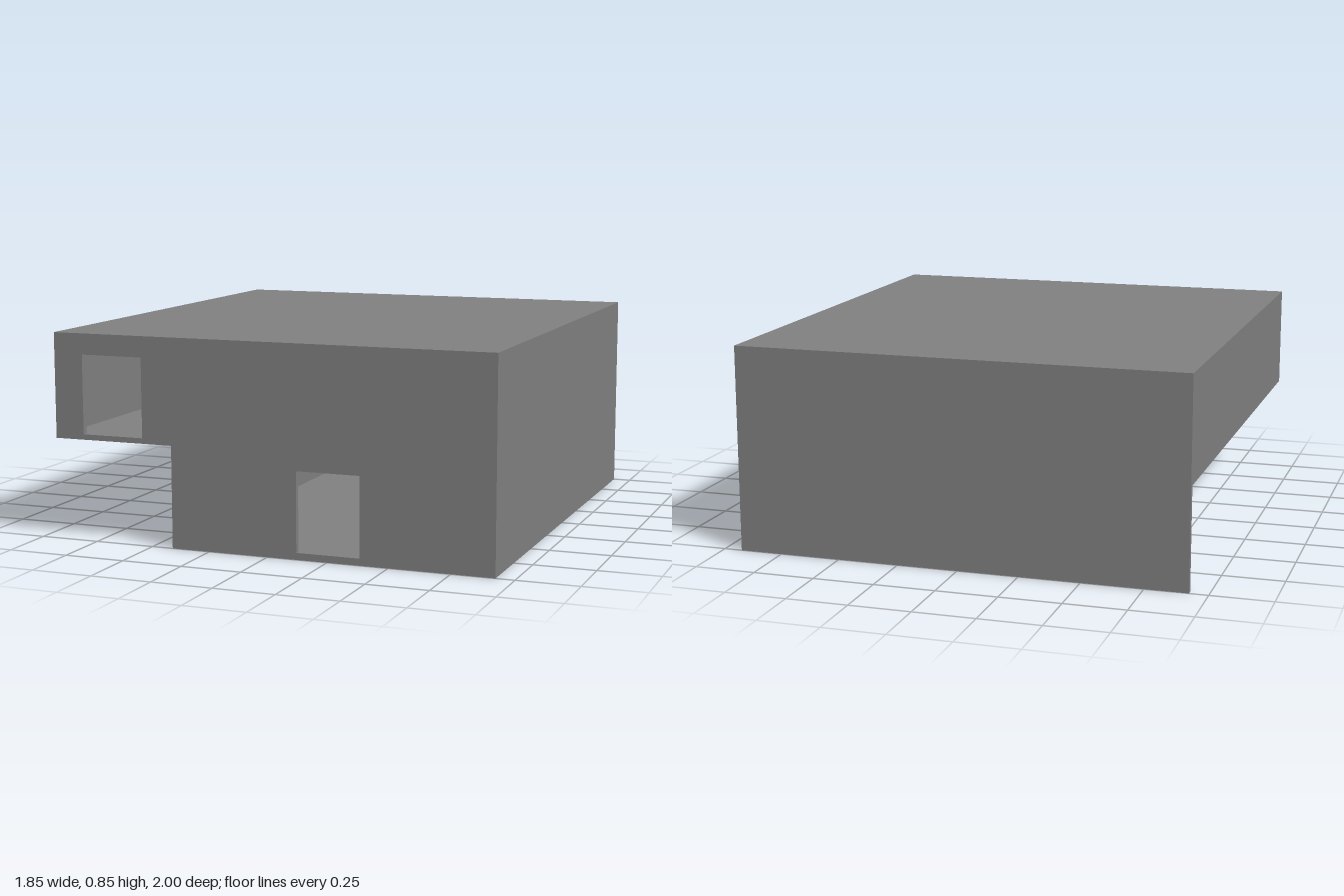
import * as THREE from 'three';

const LEFT = -0.925, RIGHT = 0.925, TOP = 0.845;
const NOTCH_X = -0.41, NOTCH_Y = 0.415;
const WALL = 0.022, SLAB = 0.015;

export function createModel() {
  const group = new THREE.Group();
  group.name = 'building';
  const grey = new THREE.MeshStandardMaterial({ color: 0x808080 });
  grey.name = 'plain grey';

  // Box given by its lower and upper corners
  const addBox = (name, [x0, y0, z0], [x1, y1, z1]) => {
    const mesh = new THREE.Mesh(new THREE.BoxGeometry(x1 - x0, y1 - y0, z1 - z0), grey);
    mesh.position.set((x0 + x1) / 2, (y0 + y1) / 2, (z0 + z1) / 2);
    mesh.name = name;
    group.add(mesh);
  };

  // Front wall: stepped outline with a window and a door cut through
  const front = new THREE.Shape([
    [NOTCH_X, 0], [RIGHT, 0], [RIGHT, TOP], [LEFT, TOP], [LEFT, NOTCH_Y], [NOTCH_X, NOTCH_Y],
  ].map(([x, y]) => new THREE.Vector2(x, y)));
  for (const [x0, y0, x1, y1] of [[-0.8, 0.437, -0.537, 0.76], [0.123, 0.028, 0.385, 0.35]]) {
    front.holes.push(new THREE.Path([
      [x0, y0], [x0, y1], [x1, y1], [x1, y0],
    ].map(([x, y]) => new THREE.Vector2(x, y))));
  }
  const frontWall = new THREE.Mesh(
    new THREE.ExtrudeGeometry(front, { depth: WALL, bevelEnabled: false }), grey);
  frontWall.position.z = 1 - WALL;
  frontWall.name = 'frontWall';
  group.add(frontWall);

  // Back wall runs the full width down to the ground
  addBox('backWall', [LEFT, 0, -1], [RIGHT, TOP, -1 + WALL]);

  // Side walls, the lower one set back beneath the overhang
  const zBack = -1 + WALL, zFront = 1 - WALL, ceiling = TOP - SLAB;
  addBox('leftWall', [RIGHT - WALL, 0, zBack], [RIGHT, ceiling, zFront]);
  addBox('upperRightWall', [LEFT, NOTCH_Y, zBack], [LEFT + WALL, ceiling, zFront]);
  addBox('lowerRightWall', [NOTCH_X, 0, zBack], [NOTCH_X + WALL, NOTCH_Y, zFront]);

  // Floors and flat roof
  addBox('groundFloor', [NOTCH_X + WALL, 0, zBack], [RIGHT - WALL, SLAB, zFront]);
  addBox('upperFloor', [LEFT + WALL, NOTCH_Y, zBack], [RIGHT - WALL, NOTCH_Y + SLAB, zFront]);
  addBox('roof', [LEFT, ceiling, zBack], [RIGHT, TOP, zFront]);

  return group;
}
